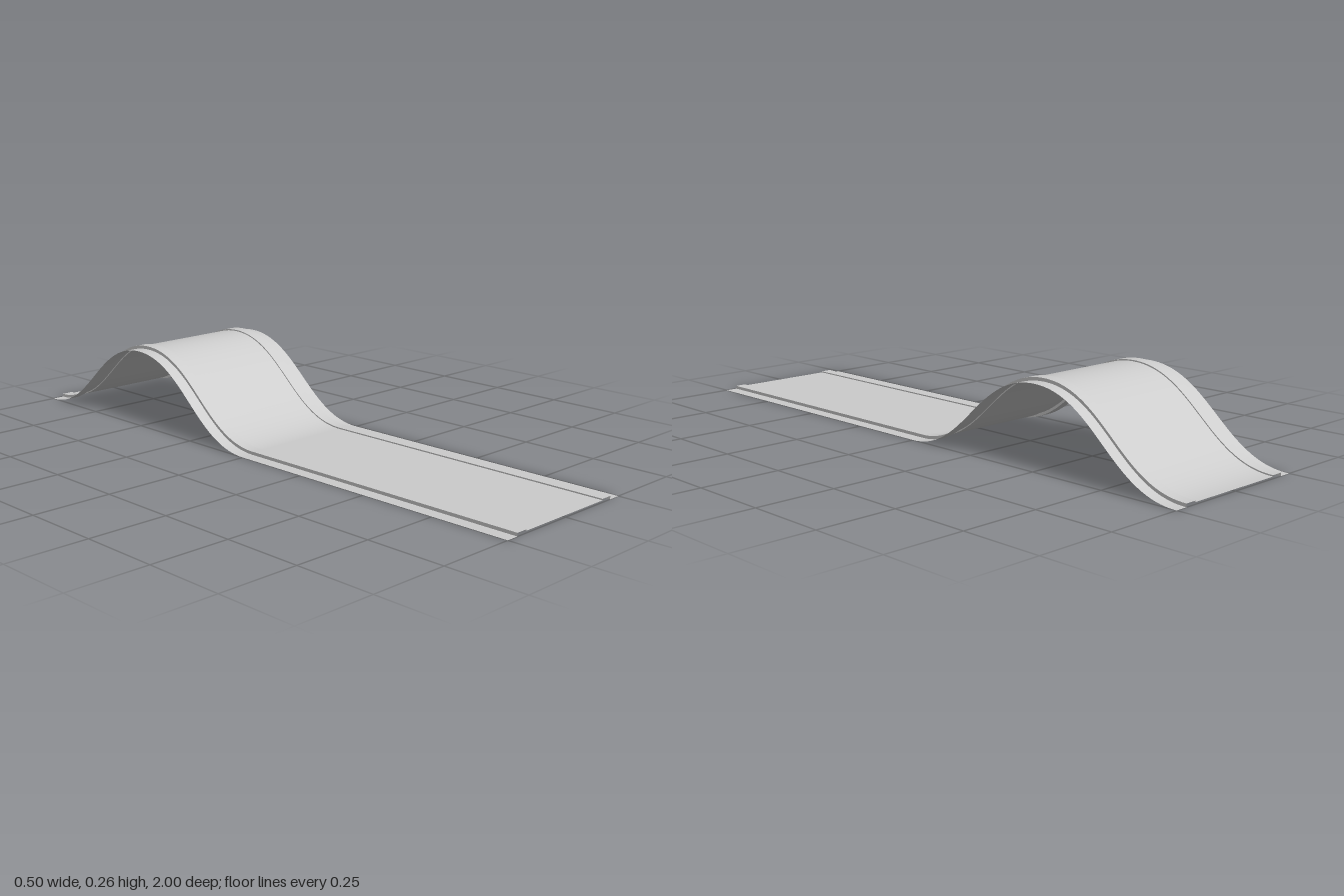
import * as THREE from 'three';

const HILL_STEPS = 48;

// Side profile: flat run, then a smooth hill, as (z, y) points from front to back
function sideProfile() {
  const h = 0.22;
  const v = (z, y) => new THREE.Vector2(z, y);
  const up = new THREE.CubicBezierCurve(v(0, 0), v(-h, 0), v(-0.5 + h, 0.25), v(-0.5, 0.25));
  const down = new THREE.CubicBezierCurve(v(-0.5, 0.25), v(-0.5 - h, 0.25), v(-1 + h, 0), v(-1, 0));
  return [v(1, 0), ...up.getPoints(HILL_STEPS), ...down.getPoints(HILL_STEPS).slice(1)];
}

// One strip between two cross-section points (x, height), swept along the profile
function strip(name, a, b, path, material) {
  const positions = [], index = [];
  path.forEach((p, i) => {
    for (const [x, lift] of [a, b]) positions.push(x, p.y + lift, p.x);
    if (i > 0) {
      const k = i * 2;
      index.push(k - 2, k - 1, k + 1, k - 2, k + 1, k);
    }
  });
  const geometry = new THREE.BufferGeometry();
  geometry.setAttribute('position', new THREE.Float32BufferAttribute(positions, 3));
  geometry.setIndex(index);
  geometry.computeVertexNormals();
  const mesh = new THREE.Mesh(geometry, material);
  mesh.name = name;
  return mesh;
}

export function createModel() {
  const group = new THREE.Group();
  group.name = 'slideTrack';
  const material = new THREE.MeshStandardMaterial({ color: 0xcccccc, side: THREE.DoubleSide });
  const path = sideProfile();

  // Cross-section from left to right: flange, raised rail, sunken bed, rail, flange
  const half = [[0.25, 0], [0.21, 0], [0.21, 0.01], [0.173, 0.01], [0.173, 0.006]];
  const section = [...half.map(([x, y]) => [-x, y]), ...[...half].reverse()];
  const sideNames = ['Flange', 'RailOuterWall', 'RailTop', 'RailInnerWall'];
  const names = [
    ...sideNames.map((n) => 'right' + n),
    'bed',
    ...[...sideNames].reverse().map((n) => 'left' + n),
  ];
  names.forEach((name, i) => group.add(strip(name, section[i], section[i + 1], path, material)));
  return group;
}
